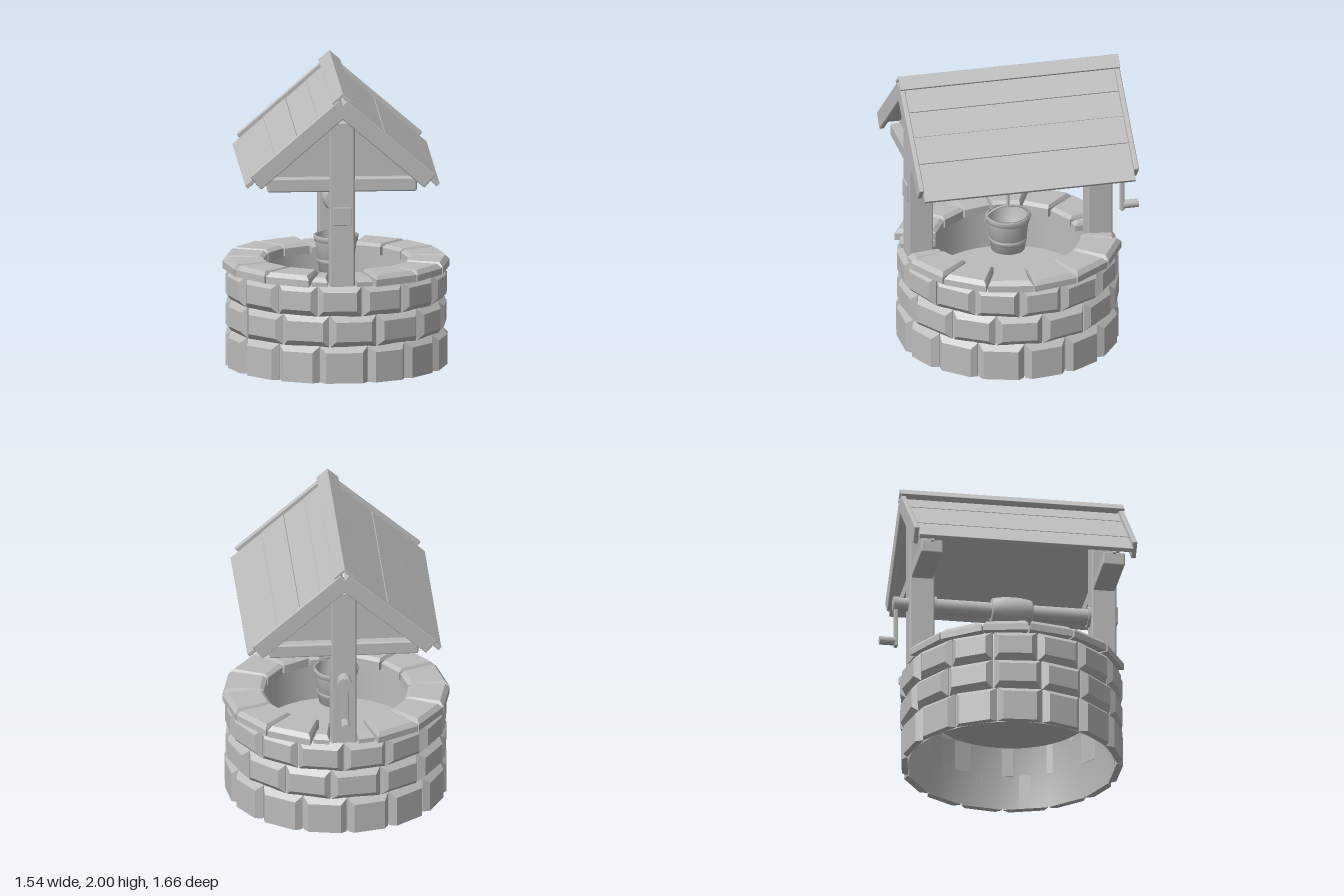
import * as THREE from 'three';
import { RoundedBoxGeometry } from 'three/addons/geometries/RoundedBoxGeometry.js';
import { ConvexGeometry } from 'three/addons/geometries/ConvexGeometry.js';

export function createModel() {
  const model = new THREE.Group();
  const grey = new THREE.MeshStandardMaterial({ color: 0xbcbcbc, side: THREE.DoubleSide });
  grey.name = 'plain grey';

  // Everything is built around the well axis, then shifted to z = 0.07
  const well = new THREE.Group();
  well.name = 'well';
  well.position.z = 0.07;
  model.add(well);

  function add(name, geometry, x = 0, y = 0, z = 0, parent = well) {
    const mesh = new THREE.Mesh(geometry, grey);
    mesh.name = name;
    mesh.position.set(x, y, z);
    parent.add(mesh);
    return mesh;
  }
  const box = (w, h, d, r = 0.008) => new RoundedBoxGeometry(w, h, d, 1, r);
  const polar = (a, r, y) => new THREE.Vector3(Math.sin(a) * r, y, Math.cos(a) * r);
  const rad = THREE.MathUtils.degToRad;
  const lathe = (pts, n) => new THREE.LatheGeometry(pts.map(p => new THREE.Vector2(...p)), n);

  let seed = 7;
  const rand = () => (seed = (seed * 16807) % 2147483647) / 2147483647 - 0.5;

  // Hull of rings: each ring is a wedge patch [radius, bottom, top, angular inset]
  function block(name, a0, a1, rings) {
    const pts = [];
    for (const [r, y0, y1, inset] of rings) {
      for (const a of [a0 + inset, a1 - inset]) pts.push(polar(a, r, y0), polar(a, r, y1));
    }
    add(name, new ConvexGeometry(pts));
  }

  // Three courses of bevelled stones
  const courses = [
    { n: 15, y0: 0, y1: 0.25, start: -11, low: 0 },
    { n: 14, y0: 0.245, y1: 0.46, start: -6.5, low: 0.04 },
    { n: 15, y0: 0.455, y1: 0.665, start: -13, low: 0.04 },
  ];
  for (const { n, y0, y1, start, low } of courses) {
    const step = Math.PI * 2 / n;
    const joints = Array.from({ length: n }, (_, i) => rad(start) + i * step + rand() * 0.04);
    joints.push(joints[0] + Math.PI * 2);
    for (let i = 0; i < n; i++) {
      const r = 0.752 + rand() * 0.008;
      block('wallStone', joints[i] + 0.006, joints[i + 1] - 0.006, [
        [0.714, y0, y1, 0],
        [0.72, y0, y1 - 0.004, 0],
        [r, y0 + low, y1 - 0.042, 0.055],
      ]);
    }
  }

  // Cap stones, in two arcs that stop at the posts
  const capJoints = [7.5, 17, 42, 66, 90, 114, 138, 163, 172.5];
  for (const side of [0, 180]) {
    for (let i = 0; i < capJoints.length - 1; i++) {
      const small = i === 0 || i === capJoints.length - 2;
      const a0 = rad(capJoints[i] + side) + 0.008, a1 = rad(capJoints[i + 1] + side) - 0.008;
      const top = small ? 0.72 : 0.735 + rand() * 0.006;
      const R = small ? 0.73 : 0.768;
      block('capStone', a0, a1, [
        [0.49, 0.66, top - 0.02, 0.01],
        [0.515, 0.66, top, 0.03],
        [R, 0.66, top - 0.03, 0],
        [R - 0.03, 0.66, top, 0.025],
      ]);
    }
  }

  // Outer shell, inner shaft and floor
  add('wallShell', lathe([[0.7, 0], [0.7, 0.67], [0.545, 0.67]], 48));
  add('shaftLining', lathe([[0.545, 0.67], [0.545, 0.38]], 48));
  add('shaftFloor', new THREE.CircleGeometry(0.545, 48).rotateX(-Math.PI / 2), 0, 0.38);

  // Roof slopes: local x runs down from the ridge, local y is square to the slope
  const slope = rad(40.8);
  const ends = [1, -1];
  for (const side of [1, -1]) {
    const pitch = new THREE.Group();
    pitch.name = side > 0 ? 'leftRoofSlope' : 'rightRoofSlope';
    pitch.position.set(0, 1.897, 0);
    pitch.rotation.z = -side * slope;
    well.add(pitch);

    // Barge boards at both ends
    for (const end of ends) {
      add('bargeBoard', box(0.795, 0.118, 0.034), side * 0.3825, 0, end * 0.745, pitch);
    }
    // Flat decking with planks on top
    add('roofDeck', box(0.835, 0.014, 1.46, 0.002), side * 0.4255, 0.008, 0, pitch);
    const joints = [0, 0.185, 0.37, 0.568, 0.845];
    for (let i = 0; i < 4; i++) {
      const len = joints[i + 1] - joints[i];
      add('roofPlank', box(len - 0.001, 0.026, 1.47 - (i % 2) * 0.008, 0.003),
        side * (joints[i] + len / 2), 0.019 - (i % 2) * 0.003, 0, pitch);
    }
    // Ridge board, meeting its twin at the apex
    add('ridgeBoard', box(0.099, 0.019, 1.525, 0.003), side * -0.0175, 0.0685, 0, pitch);
  }

  // Posts, tie beams and gable panels
  const gable = new THREE.Shape([[-0.53, 1.39], [0.53, 1.39], [0, 1.85]].map(p => new THREE.Vector2(...p)));
  for (const end of ends) {
    const z = end * 0.622;
    add('post', box(0.17, 1.36, 0.17, 0.012), 0, 1.11, z);
    add('tieBeam', box(1.01, 0.095, 0.15, 0.012), 0, 1.357, z);
    add('gablePanel', new THREE.ExtrudeGeometry(gable, { depth: 0.02, bevelEnabled: false }), 0, 0, z - 0.01);
    add('axleCollar', new THREE.CylinderGeometry(0.07, 0.07, 0.025, 20).rotateX(Math.PI / 2), 0, 1.143, end * 0.53);
  }

  // Windlass
  add('axle', new THREE.CylinderGeometry(0.055, 0.055, 1.24, 20).rotateX(Math.PI / 2), 0, 1.143, 0);
  add('axlePlate', box(0.125, 0.125, 0.03, 0.005), 0, 1.143, 0.705);
  const drum = lathe([[0, -0.14], [0.075, -0.14], [0.084, -0.13], [0.097, -0.05], [0.097, 0.05], [0.084, 0.13], [0.075, 0.14], [0, 0.14]], 16);
  add('ropeDrum', drum.rotateX(Math.PI / 2), 0, 1.145, 0);

  // Crank at the back
  add('crankHub', new THREE.CylinderGeometry(0.045, 0.045, 0.11, 16).rotateX(Math.PI / 2), 0, 1.143, -0.755);
  add('crankHubEnd', new THREE.CylinderGeometry(0.052, 0.052, 0.032, 16).rotateX(Math.PI / 2), 0, 1.143, -0.79);
  add('crankArm', box(0.045, 0.32, 0.026, 0.006), 0, 0.985, -0.79);
  add('crankHandle', new THREE.CylinderGeometry(0.029, 0.029, 0.105, 16).rotateX(Math.PI / 2), 0, 0.865, -0.85);

  // Bucket with bands, bail and rope
  add('bucketBody', lathe([[0, 0.63], [0.115, 0.63], [0.145, 0.88], [0.13, 0.88], [0.106, 0.65], [0, 0.65]], 24));
  for (const [y0, y1, r0, r1] of [[0.84, 0.88, 0.147, 0.154], [0.69, 0.72, 0.126, 0.13]]) {
    add('bucketBand', lathe([[r0 - 0.015, y0], [r0, y0], [r1, y1], [r1 - 0.015, y1]], 24));
  }
  const bail = new THREE.CatmullRomCurve3(
    [[-0.158, 0.85], [-0.142, 0.89], [-0.08, 0.932], [0, 0.946], [0.08, 0.932], [0.142, 0.89], [0.158, 0.85]]
      .map(([z, y]) => new THREE.Vector3(0, y, z)));
  add('bucketHandle', new THREE.TubeGeometry(bail, 24, 0.007, 6));
  add('rope', new THREE.CylinderGeometry(0.009, 0.009, 0.14, 8), 0, 1.01, 0);

  return model;
}
